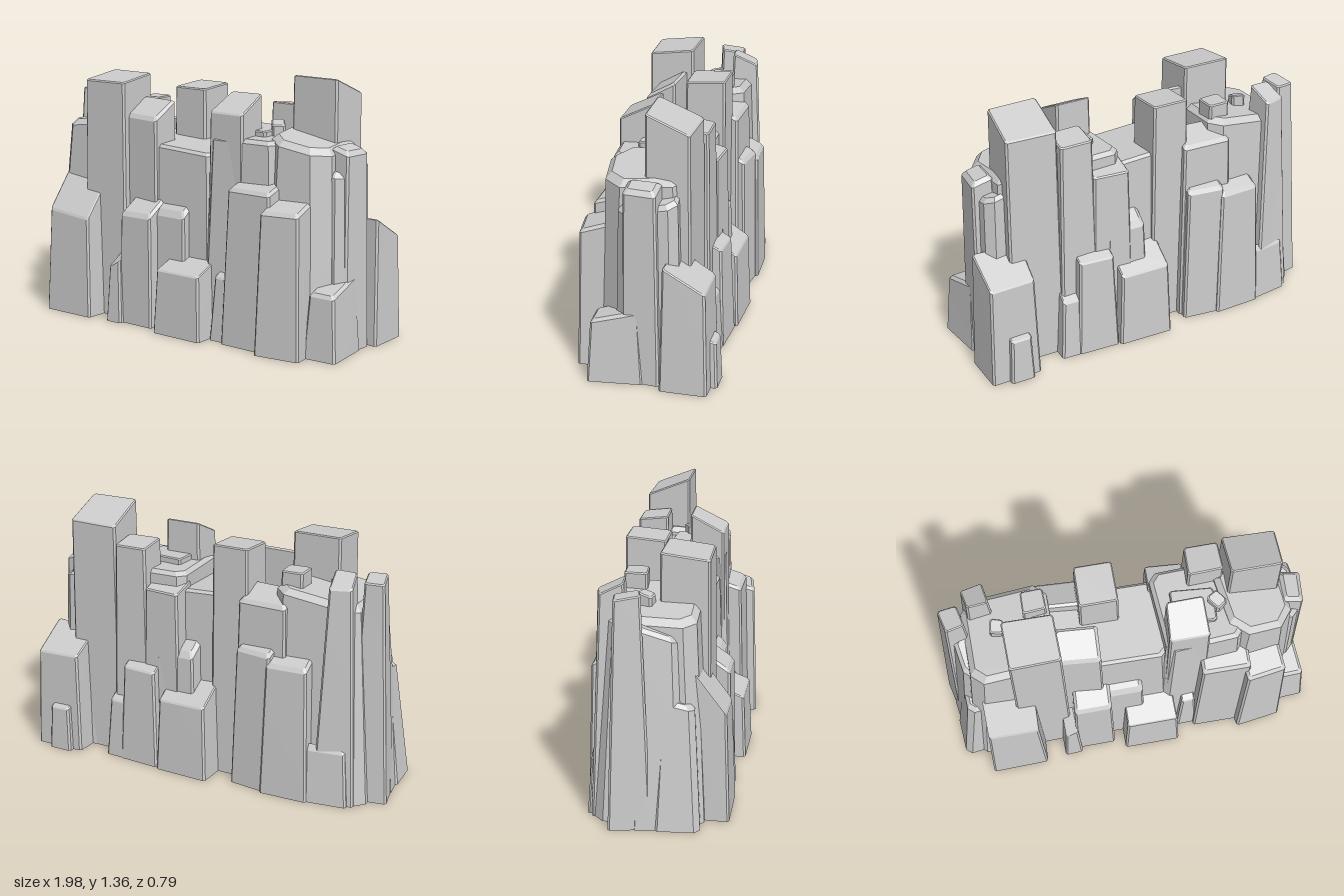
import * as THREE from 'three';

// Seeded noise so that every rock edge is slightly irregular
function makeRandom(seed) {
  return () => {
    seed = (seed * 16807) % 2147483647;
    return seed / 2147483647 - 0.5;
  };
}

const material = new THREE.MeshStandardMaterial({
  color: 0xcccccc, flatShading: true, side: THREE.DoubleSide,
});

// A tapered rock column, open underneath: chamfered footprint, sloping top, bevelled rim.
// x0..z1 bound the top; back, front = top heights; opts: flare, left, right (base growth),
// yaw, cut (corner chamfer), tilt (rise towards +x), bevel, rough
function describeColumn([x0, x1, z0, z1, back, front, opts = {}], random) {
  const { flare = 0.02, left = flare, right = flare, yaw = -0.05, cut = 0.01,
    tilt = 0, bevel = 0.006, rough = 0.012 } = opts;
  const cx = (x0 + x1) / 2, cz = (z0 + z1) / 2;
  const w = (x1 - x0) / 2, d = (z1 - z0) / 2;
  const c = Math.cos(yaw), s = Math.sin(yaw);
  const topY = (x, z) => (back + front) / 2 + (front - back) * z / (2 * d) + tilt * x / (2 * w);
  const place = (x, y, z) => new THREE.Vector3(cx + x * c + z * s, y, cz - x * s + z * c);

  const outline = [];
  for (const [sx, sz, first] of [[1, 1, 1], [1, -1, 0], [-1, -1, 1], [-1, 1, 0]]) {
    const jx = random() * rough, jz = random() * rough;
    const a = [sx * (w - cut) + jx, sz * d + jz, sx, sz];
    const b = [sx * w + jx, sz * (d - cut) + jz, sx, sz];
    outline.push(...(first ? [a, b] : [b, a]));
  }
  const base = outline.map(([x, z, sx, sz]) => place(x + sx * (sx > 0 ? right : left), 0, z + sz * flare));
  const shoulder = outline.map(([x, z]) => place(x, topY(x, z) - bevel, z));
  const rim = outline.map(([x, z]) => {
    const px = x * (1 - bevel / w), pz = z * (1 - bevel / d);
    return place(px, topY(px, pz), pz);
  });

  // True for a point safely within the solid
  const contains = (p) => {
    const dx = p.x - cx, dz = p.z - cz;
    const x = dx * c - dz * s, z = dx * s + dz * c;
    const top = topY(x, z) - bevel - 0.008;
    if (p.y > top) return false;
    const spread = 1 - p.y / top;
    const gapX = w + spread * (x > 0 ? right : left) - 0.008 - Math.abs(x);
    const gapZ = d + spread * flare - 0.008 - Math.abs(z);
    return gapX > 0 && gapZ > 0 && gapX + gapZ > cut;
  };
  return { base, shoulder, rim, contains };
}

// Skin of one column; wall patches buried in neighbouring rock are left out,
// so the cliff stays a hollow shell
function columnGeometry(column, all) {
  const { base, shoulder, rim } = column;
  const others = all.filter((o) => o !== column);
  const buried = (p) => others.some((o) => o.contains(p));
  const positions = [];
  const face = (...corners) => {
    if (corners.every(buried)) return;
    for (let i = 1; i < corners.length - 1; i++) {
      for (const p of [corners[0], corners[i], corners[i + 1]]) positions.push(p.x, p.y, p.z);
    }
  };
  const n = base.length;
  for (let i = 0; i < n; i++) {
    const j = (i + 1) % n;
    const cols = Math.ceil(base[i].distanceTo(base[j]) / 0.045);
    const rows = Math.ceil(shoulder[i].y / 0.045);
    const at = (u, v) => base[i].clone().lerp(base[j], u / cols)
      .lerp(shoulder[i].clone().lerp(shoulder[j], u / cols), v / rows);
    for (let u = 0; u < cols; u++) {
      for (let v = 0; v < rows; v++) face(at(u, v), at(u + 1, v), at(u + 1, v + 1), at(u, v + 1));
    }
    face(shoulder[i], shoulder[j], rim[j], rim[i]);
  }
  face(...rim);
  const geometry = new THREE.BufferGeometry();
  geometry.setAttribute('position', new THREE.Float32BufferAttribute(positions, 3));
  geometry.computeVertexNormals();
  return geometry;
}

const PARTS = {
  // Broad masses that carry the plateau
  core: [
    [-0.83, -0.38, -0.28, 0.17, 1.07, 1.06, { cut: 0.06, bevel: 0.03, flare: 0.05, left: 0.08, yaw: -0.04, tilt: 0.06 }],
    [-0.42, 0.2, -0.21, 0.19, 0.99, 0.96, { cut: 0.06, bevel: 0.015, flare: 0.03, yaw: -0.06, tilt: -0.03 }],
    [0.15, 0.56, -0.2, 0.23, 1.06, 1.05, { cut: 0.04, bevel: 0.02, flare: 0.03, yaw: 0 }],
    [0.48, 0.82, -0.19, 0.23, 1.08, 1.05, { cut: 0.08, bevel: 0.03, flare: 0.03, yaw: 0.06, tilt: -0.06 }],
    [0.7, 0.89, -0.15, 0.14, 0.97, 0.92, { cut: 0.04, bevel: 0.02, tilt: -0.04 }],
  ],
  // Tall blocks rising above the plateau
  tower: [
    [-0.64, -0.38, -0.02, 0.22, 1.305, 1.275, { flare: 0.01 }],
    [-0.23, -0.03, -0.24, -0.03, 1.255, 1.24, { flare: 0.01, yaw: -0.04 }],
    [0.17, 0.37, 0.05, 0.23, 1.26, 1.17, { flare: 0.015, yaw: -0.06 }],
    [0.34, 0.52, -0.25, -0.09, 1.18, 1.2, { yaw: -0.08 }],
    [0.53, 0.79, -0.21, 0.01, 1.27, 1.36, { flare: 0.01, yaw: -0.07 }],
    [-0.79, -0.68, -0.31, -0.18, 1.14, 1.2, { flare: 0.05, yaw: 0.1 }],
    [-0.92, -0.82, -0.22, -0.09, 1.16, 1.18, { flare: 0.04, left: 0.06, yaw: 0.12 }],
    [-0.4, -0.18, 0.04, 0.2, 1.19, 1.1, { flare: 0.01, bevel: 0.015, yaw: -0.1 }],
    [0.8, 0.91, -0.06, 0.1, 1.03, 1.03, { flare: 0.015, bevel: 0.02, yaw: -0.1, tilt: -0.03 }],
    [0.22, 0.44, -0.06, 0.12, 1.09, 1.08, { flare: 0, yaw: -0.1 }],
    [-0.46, -0.2, -0.29, -0.14, 1.0, 1.06, { bevel: 0.015, yaw: -0.12 }],
    [0.14, 0.34, -0.27, -0.12, 0.97, 1.01, { yaw: -0.1 }],
  ],
  // Small stones lying on the plateau
  stone: [
    [-0.51, -0.39, -0.22, -0.1, 1.16, 1.16, { flare: 0 }],
    [0.42, 0.49, 0, 0.07, 1.13, 1.11, { flare: 0, yaw: 0.5 }],
    [-0.69, -0.62, -0.12, -0.05, 1.12, 1.1, { flare: 0, yaw: -0.3 }],
  ],
  // Lower columns along the front
  frontButtress: [
    [-0.82, -0.55, 0.13, 0.32, 0.8, 0.55, { yaw: -0.07, tilt: -0.04 }],
    [-0.42, -0.35, 0.18, 0.32, 0.4, 0.32, { flare: 0.015, tilt: 0.04 }],
    [-0.35, -0.15, 0.15, 0.3, 0.7, 0.6, { flare: 0.01, bevel: 0.015, yaw: -0.06 }],
    [-0.2, 0.02, 0.12, 0.25, 0.72, 0.62, { flare: 0.01, bevel: 0.02 }],
    [-0.08, 0.19, 0.18, 0.36, 0.41, 0.34, { flare: 0.015, yaw: -0.06 }],
    [0.24, 0.31, 0.15, 0.29, 0.42, 0.33],
    [0.33, 0.59, 0.15, 0.31, 0.86, 0.81, { flare: 0.025, bevel: 0.015, yaw: -0.06 }],
    [0.55, 0.76, 0.2, 0.36, 0.78, 0.73, { bevel: 0.015, yaw: 0.06 }],
    [0.78, 0.92, 0.04, 0.27, 0.39, 0.33, { bevel: 0.015, yaw: 0.05 }],
  ],
  // Shoulders at both ends
  endButtress: [
    [0.72, 0.97, -0.31, -0.11, 0.54, 0.655, { flare: 0.015, yaw: -0.1 }],
    [-0.9, -0.72, -0.02, 0.16, 0.66, 0.62, { flare: 0.03, left: 0.08, bevel: 0.02, yaw: 0.05, cut: 0.03 }],
    [-0.88, -0.72, -0.12, 0.08, 1.02, 0.95, { flare: 0.03, left: 0.09, bevel: 0.02, yaw: 0.05, cut: 0.03 }],
  ],
  // Lower columns along the back
  backButtress: [
    [-0.6, -0.38, -0.37, -0.22, 0.71, 0.78, { bevel: 0.015, yaw: -0.06 }],
    [-0.8, -0.56, -0.36, -0.2, 0.3, 0.4, { bevel: 0.02, yaw: 0.06 }],
    [-0.4, -0.21, -0.34, -0.18, 0.75, 0.82, { bevel: 0.015, yaw: -0.18 }],
    [-0.04, 0.22, -0.36, -0.2, 0.4, 0.5, { flare: 0.015, yaw: -0.12 }],
    [0.06, 0.27, -0.28, -0.12, 0.65, 0.76, { bevel: 0.02, yaw: -0.1 }],
    [0.27, 0.46, -0.31, -0.17, 0.53, 0.6, { yaw: -0.1 }],
    [0.43, 0.55, -0.29, -0.17, 0.32, 0.4, { yaw: -0.1 }],
    [0.78, 0.89, -0.35, -0.25, 0.24, 0.28, { flare: 0.01, yaw: -0.1 }],
  ],
};

export function createModel() {
  const cliff = new THREE.Group();
  cliff.name = 'rockCliff';
  const random = makeRandom(4217);
  const parts = Object.entries(PARTS).map(([name, rows]) => [name, rows.map((r) => describeColumn(r, random))]);
  const all = parts.flatMap(([, columns]) => columns);

  for (const [name, columns] of parts) {
    const group = new THREE.Group();
    group.name = name + 'Group';
    columns.forEach((column, i) => {
      const mesh = new THREE.Mesh(columnGeometry(column, all), material);
      mesh.name = name + (i + 1);
      group.add(mesh);
    });
    cliff.add(group);
  }
  return cliff;
}
